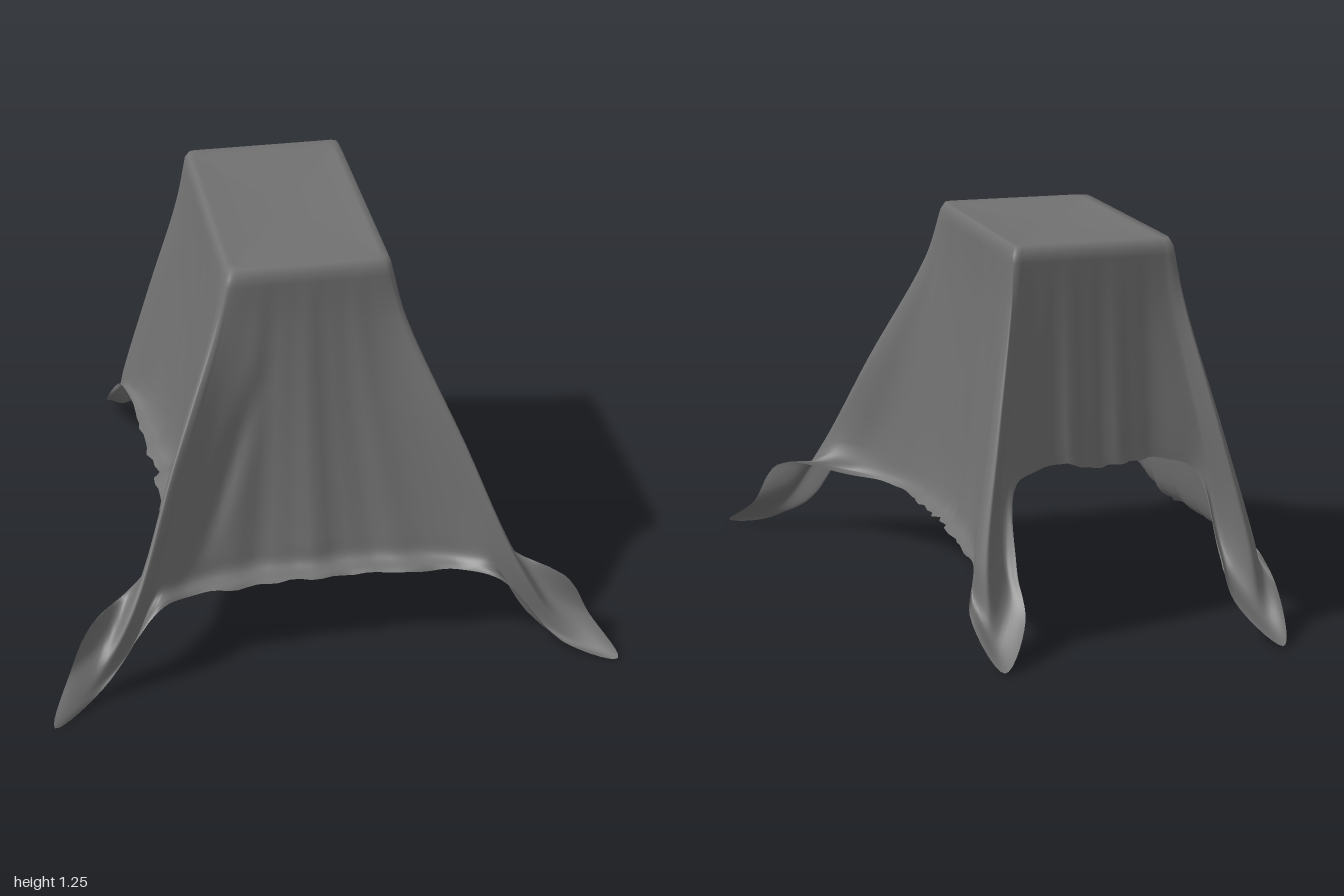
import * as THREE from 'three';

// Hanging lines of the cloth on the +x half, running from front centre to back centre.
// Each line: rim x,z | lower bend x,y,z | hem x,y,z
const frontLines = [
  [0, 0.39, 0, 0.35, 0.59, 0, 0.255, 0.665],
  [0.13, 0.39, 0.22, 0.35, 0.59, 0.25, 0.255, 0.68],
  [0.22, 0.39, 0.42, 0.35, 0.63, 0.45, 0.255, 0.70],
  [0.25, 0.387, 0.53, 0.36, 0.69, 0.57, 0.25, 0.775],
  [0.26, 0.382, 0.59, 0.31, 0.74, 0.76, 0.04, 0.865],
  [0.268, 0.37, 0.64, 0.27, 0.775, 0.93, 0.01, 0.975], // front corner tip
  [0.272, 0.35, 0.63, 0.31, 0.74, 0.86, 0.11, 0.835],
  [0.273, 0.33, 0.58, 0.35, 0.66, 0.78, 0.25, 0.79],
  [0.273, 0.30, 0.49, 0.35, 0.54, 0.58, 0.255, 0.60],
  [0.273, 0.25, 0.42, 0.35, 0.38, 0.475, 0.255, 0.40],
];
const backLines = [
  [0.273, 0.1, 0.375, 0.34, 0.12, 0.44, 0.255, 0.12],
  [0.273, -0.15, 0.375, 0.34, -0.15, 0.44, 0.255, -0.15],
  [0.273, -0.4, 0.39, 0.34, -0.45, 0.445, 0.255, -0.45],
  [0.273, -0.48, 0.44, 0.34, -0.63, 0.475, 0.25, -0.70],
  [0.272, -0.51, 0.465, 0.30, -0.73, 0.515, 0.14, -0.79],
  [0.268, -0.53, 0.44, 0.28, -0.77, 0.46, 0.01, -1.0], // back corner tip
  [0.262, -0.536, 0.40, 0.33, -0.72, 0.35, 0.12, -0.85],
  [0.25, -0.54, 0.37, 0.36, -0.66, 0.34, 0.26, -0.72],
  [0.23, -0.54, 0.31, 0.62, -0.59, 0.30, 0.50, -0.59],
  [0.15, -0.54, 0.16, 0.67, -0.545, 0.16, 0.54, -0.545],
  [0, -0.54, 0, 0.66, -0.545, 0, 0.52, -0.545], // short back flap
];

const CENTRE_Z = -0.08;
const DROP_ROWS = 30;
const STEPS = 7; // samples between neighbouring lines
const RIM_ROW = 4;

// 0 at a table corner, rising to 1 along the straight edges
function awayFromCorner(x, z) {
  return Math.min(1, Math.hypot(Math.abs(x) - 0.27, z - (z > CENTRE_Z ? 0.38 : -0.53)) / 0.14);
}

// Points down one line: flat top, soft rim, then the hanging part
function hangingLine([tx, tz, lx, ly, lz, hx, hy, hz]) {
  const inset = (k, y) => new THREE.Vector3(tx * k, y, CENTRE_Z + (tz - CENTRE_Z) * k);
  const between = (f, y) => new THREE.Vector3(tx + (lx - tx) * f, y, tz + (lz - tz) * f);
  const bulge = 0.58 - 0.08 * awayFromCorner(tx, tz);
  const drop = new THREE.CatmullRomCurve3([
    inset(1, 1.23),
    between(0.12, 1.06),
    between(bulge, 1.06 + (ly - 1.06) * 0.5),
    new THREE.Vector3(lx, ly, lz),
    new THREE.Vector3(lx + (hx - lx) * 0.42, ly + (hy - ly) * 0.72, lz + (hz - lz) * 0.32),
    new THREE.Vector3(hx, hy, hz),
  ]);
  return [inset(0, 1.24), inset(0.5, 1.243), inset(0.88, 1.25), inset(0.96, 1.255), ...drop.getPoints(DROP_ROWS)];
}

// Shallow vertical folds, slight left/right difference and a frayed hem
function settle(p, row, rows, rim) {
  const t = Math.max(0, (row - RIM_ROW) / (rows - 1 - RIM_ROW));
  const along = rim.x + rim.z;
  const radial = new THREE.Vector3(p.x, 0, p.z - CENTRE_Z).normalize();
  const dent = (offset, width) => Math.exp(-((offset / width) ** 2));
  let fold = 0.006 * Math.sin(along * 38) + 0.004 * Math.sin(along * 83 + 1);
  // Pinched creases in the middle of each side
  if (Math.abs(rim.x) > 0.26) fold -= 0.022 * dent(p.z + 0.08, 0.03) + 0.014 * dent(p.z + 0.16, 0.025);
  fold *= awayFromCorner(rim.x, rim.z);
  // Diagonal crease on the front
  if (p.z > 0.38 && p.y < 0.95 && p.y > 0.3) {
    const ridge = -0.17 - 0.4 * (0.9 - p.y);
    fold -= 0.03 * dent(p.x - ridge, 0.04) * Math.sin(((p.y - 0.3) / 0.65) * Math.PI);
  }
  p.addScaledVector(radial, fold * Math.min(1, t * 1.6));
  p.x -= 0.027 * t * THREE.MathUtils.clamp((0.8 - p.z) / 0.5, 0, 1);
  // The two front tips reach out unequally
  if (p.z > 0) p.z -= 0.16 * Math.sign(p.x) * Math.max(0, Math.abs(p.x) - 0.76);
  if (row === rows - 1 && p.y > 0.2) p.y += 0.003 * Math.sin(along * 97) + 0.003 * Math.sin(along * 41) - 0.004;
  return p;
}

function drapeGeometry() {
  const half = [...frontLines, ...backLines];
  const mirrored = half.slice(1, -1).reverse().map(([tx, tz, lx, ly, lz, hx, hy, hz]) => [-tx, tz, -lx, ly, lz, -hx, hy, hz]);
  const lines = [...half, ...mirrored].map(hangingLine);
  const rows = lines[0].length;
  const cols = lines.length * STEPS;
  const ringAt = (r) => new THREE.CatmullRomCurve3(lines.map((l) => l[r]), true);
  const rim = ringAt(RIM_ROW);
  const positions = [];
  const index = [];

  for (let r = 0; r < rows; r++) {
    const ring = r === 0 ? null : ringAt(r);
    for (let c = 0; c < cols; c++) {
      const p = ring ? ring.getPoint(c / cols) : lines[0][0].clone();
      positions.push(...settle(p, r, rows, rim.getPoint(c / cols)).toArray());
    }
  }
  for (let r = 0; r < rows - 1; r++) {
    for (let c = 0; c < cols; c++) {
      const n = (c + 1) % cols;
      const a = r * cols + c, b = r * cols + n, d = a + cols, e = b + cols;
      if (r > 0) index.push(a, d, b);
      index.push(b, d, e);
    }
  }
  const geometry = new THREE.BufferGeometry();
  geometry.setAttribute('position', new THREE.Float32BufferAttribute(positions, 3));
  geometry.setIndex(index);
  geometry.computeVertexNormals();
  // The shared centre of the top points straight up
  for (let c = 0; c < cols; c++) geometry.attributes.normal.setXYZ(c, 0, 1, 0);
  return geometry;
}

export function createModel() {
  const group = new THREE.Group();
  group.name = 'drapedCloth';
  const material = new THREE.MeshStandardMaterial({ color: 0x717171, side: THREE.DoubleSide });
  const cloth = new THREE.Mesh(drapeGeometry(), material);
  cloth.name = 'cloth';
  group.add(cloth);
  return group;
}
